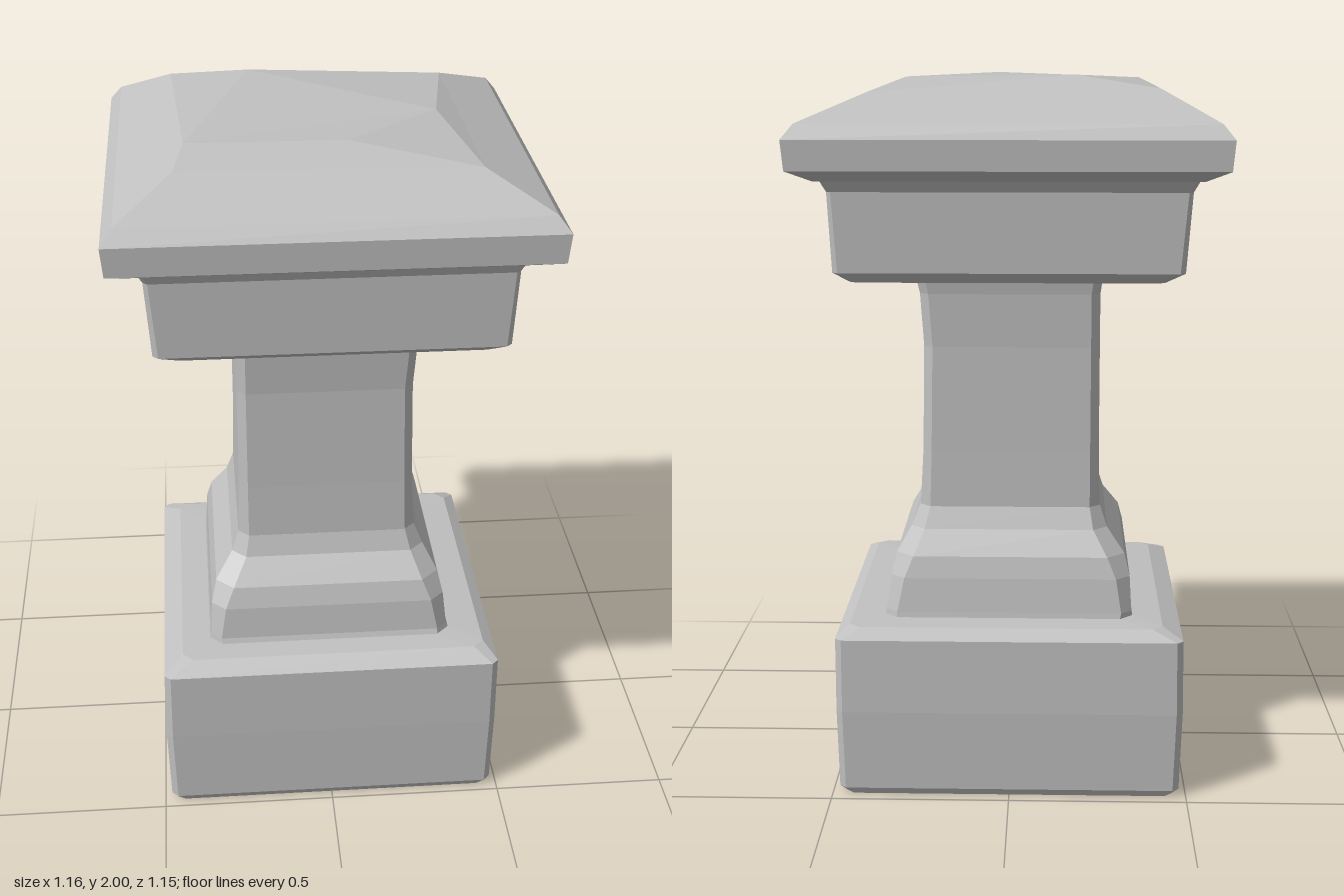
import * as THREE from 'three';

const stone = new THREE.MeshStandardMaterial({ color: 0xc0c0c0, flatShading: true });
stone.name = 'grey stone';

// Rectangle at height y, corners anticlockwise from above; c cuts the corners off
function ring([y, x0, x1, z0, z1, c]) {
  const p = c
    ? [[x0 + c, z1], [x1 - c, z1], [x1, z1 - c], [x1, z0 + c],
       [x1 - c, z0], [x0 + c, z0], [x0, z0 + c], [x0, z1 - c]]
    : [[x0, z1], [x1, z1], [x1, z0], [x0, z0]];
  return p.map(([x, z]) => [x, y, z]);
}

// Faceted solid through a stack of rings, bottom to top
function loft(name, rings) {
  const pos = [];
  const tri = (a, b, c) => pos.push(...a, ...b, ...c);
  const n = rings[0].length;
  for (let r = 0; r < rings.length - 1; r++) {
    const a = rings[r], b = rings[r + 1];
    for (let i = 0; i < n; i++) {
      const j = (i + 1) % n;
      tri(a[i], a[j], b[j]);
      tri(a[i], b[j], b[i]);
    }
  }
  const bottom = rings[0], top = rings[rings.length - 1];
  for (let i = 1; i < n - 1; i++) {
    tri(bottom[0], bottom[i + 1], bottom[i]);
    tri(top[0], top[i], top[i + 1]);
  }
  const geo = new THREE.BufferGeometry();
  geo.setAttribute('position', new THREE.Float32BufferAttribute(pos, 3));
  geo.computeVertexNormals();
  const mesh = new THREE.Mesh(geo, stone);
  mesh.name = name;
  return mesh;
}

export function createModel() {
  const group = new THREE.Group();
  group.name = 'pedestal';

  // Rows: y, x min, x max, z min, z max, corner cut
  const parts = {
    plinth: [
      [0.0, -0.46, 0.46, -0.46, 0.47, 0.02],
      [0.02, -0.48, 0.48, -0.47, 0.48, 0.018],
      [0.25, -0.487, 0.485, -0.478, 0.485, 0.018],
      [0.46, -0.485, 0.485, -0.475, 0.485, 0.018],
      [0.485, -0.43, 0.45, -0.43, 0.43, 0.03],
      [0.49, -0.35, 0.36, -0.36, 0.37, 0.04],
    ],
    baseMoulding: [
      [0.48, -0.35, 0.36, -0.36, 0.37, 0.04],
      [0.505, -0.345, 0.35, -0.355, 0.36, 0.03],
      [0.6, -0.34, 0.34, -0.34, 0.35, 0.04],
      [0.66, -0.325, 0.325, -0.325, 0.33, 0.05],
      [0.73, -0.275, 0.285, -0.285, 0.275, 0.04],
      [0.79, -0.255, 0.26, -0.26, 0.255, 0.03],
    ],
    shaft: [
      [0.78, -0.255, 0.26, -0.26, 0.255, 0.03],
      [0.95, -0.25, 0.25, -0.255, 0.25, 0.025],
      [1.25, -0.25, 0.245, -0.25, 0.248, 0.025],
      [1.4, -0.25, 0.255, -0.255, 0.26, 0.025],
      [1.47, -0.26, 0.27, -0.265, 0.275, 0.025],
    ],
    capital: [
      [1.455, -0.42, 0.43, -0.43, 0.43, 0.02],
      [1.485, -0.47, 0.47, -0.47, 0.475, 0.015],
      [1.7, -0.485, 0.48, -0.48, 0.485, 0.012],
      [1.73, -0.5, 0.495, -0.5, 0.5, 0.012],
      [1.76, -0.5, 0.5, -0.5, 0.5, 0.012],
    ],
  };
  for (const [name, rows] of Object.entries(parts)) group.add(loft(name, rows.map(ring)));

  // Overhanging cap with a sloped, slightly uneven crown
  group.add(loft('cap', [
    ...[
      [1.73, -0.51, 0.51, -0.51, 0.51],
      [1.76, -0.575, 0.575, -0.57, 0.575],
      [1.84, -0.582, 0.582, -0.575, 0.58],
      [1.88, -0.55, 0.55, -0.555, 0.55],
    ].map(ring),
    [[-0.4, 1.965, 0.4], [0.39, 1.95, 0.39], [0.38, 1.955, -0.38], [-0.4, 1.965, -0.4]],
    [[-0.37, 1.985, 0.25], [0.05, 2, 0.3], [0.31, 1.99, 0.05], [-0.18, 2, -0.31]],
  ]));
  return group;
}
